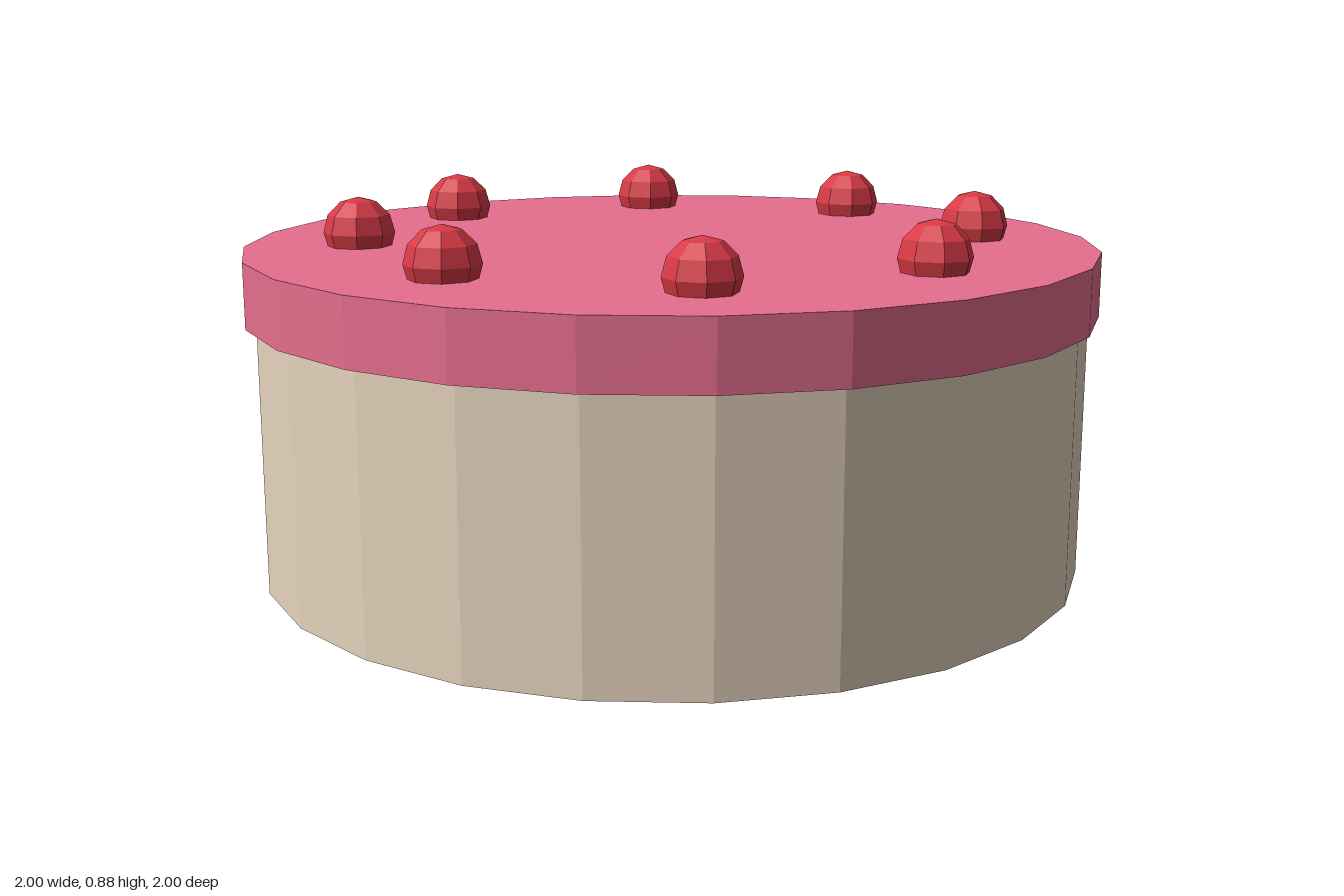
import * as THREE from 'three';

const mat = (name, color) => {
  const m = new THREE.MeshStandardMaterial({ color, flatShading: true });
  m.name = name;
  return m;
};

export function createModel() {
  const cake = new THREE.Group();
  cake.name = 'cake';
  const cream = mat('cream sponge', 0xe6d4be);
  const pink = mat('pink icing', 0xe66e8e);
  const red = mat('cherry red', 0xd93a46);

  const add = (name, geometry, material, x, y, z) => {
    const mesh = new THREE.Mesh(geometry, material);
    mesh.name = name;
    mesh.position.set(x, y, z);
    cake.add(mesh);
  };

  // Sponge body and the slightly wider icing slab on top
  add('sponge', new THREE.CylinderGeometry(0.976, 0.976, 0.615, 24), cream, 0, 0.3075, 0);
  add('icing', new THREE.CylinderGeometry(1, 1, 0.15, 24), pink, 0, 0.69, 0);

  // Ring of eight cherries, half sunk into the icing
  const cherry = new THREE.SphereGeometry(0.083, 8, 6);
  for (let i = 0; i < 8; i++) {
    const a = (i / 8) * Math.PI * 2;
    add('cherry' + (i + 1), cherry, red, 0.732 * Math.cos(a), 0.796, 0.732 * Math.sin(a));
  }
  return cake;
}
